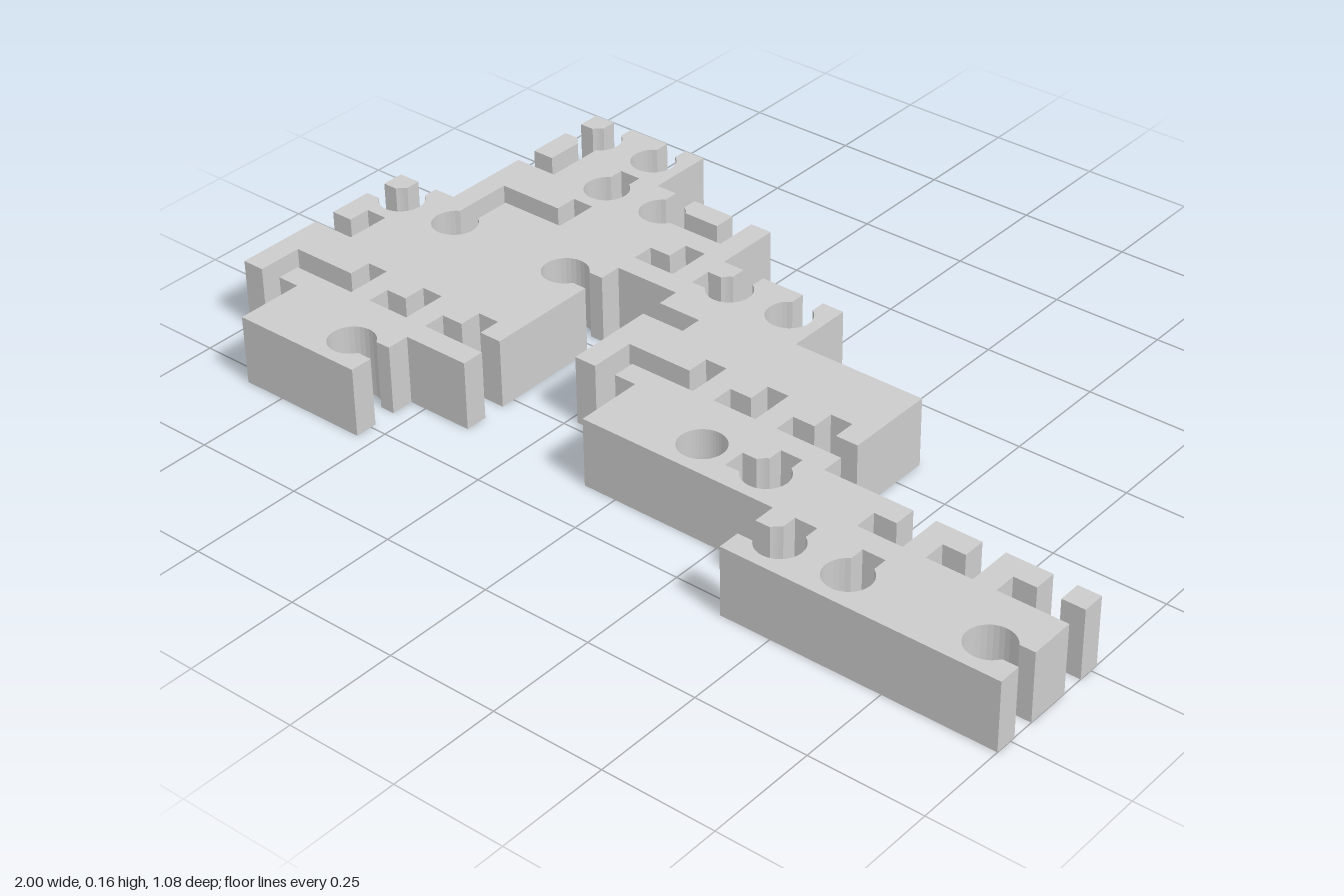
import * as THREE from 'three';

// Plan of the plate, back row first. Each tile is f (solid), s (square hole)
// or o (round hole), followed by the sides where a slot opens the hole.
const PLAN = [
  '. oNWS oN',
  '. sNW oN oNE sNW',
  '. sES sNW f sNW oNW oN',
  'oNW oN f oE . sW f f f',
  'sNW f f f . sES sNW sNW sNWE',
  'sSE sNW sNW sNWE . . f o oNW f sNW sNW sNWE',
  '. f oE . . . . . . oNW oN f oE',
];
const COLS = 13, ROWS = 7;
const CELL = 2 / COLS, H = CELL / 2, SLOT = CELL / 6, RADIUS = 0.05;
const HEIGHT = 0.155;
const SIDES = 'ENWS';

// Point turned by a number of quarter turns
function turn(x, y, quarter) {
  return new THREE.Vector2(x, y).rotateAround(new THREE.Vector2(), quarter * Math.PI / 2);
}

// Solid piece of a tile running counter-clockwise from slot a to slot b
function pieceShape(a, b, round) {
  const points = [turn(H, SLOT, a)];
  for (let i = a; i < b; i++) points.push(turn(H, H, i));
  points.push(turn(H, -SLOT, b));
  if (round) {
    const offset = Math.asin(SLOT / RADIUS) / (Math.PI / 2);
    const steps = (b - a) * 6;
    for (let i = 0; i <= steps; i++) {
      points.push(turn(RADIUS, 0, THREE.MathUtils.lerp(b - offset, a + offset, i / steps)));
    }
  } else {
    for (let i = b - 1; i >= a; i--) points.push(turn(SLOT, SLOT, i));
  }
  return new THREE.Shape(points);
}

function tileShapes(code) {
  const open = [...SIDES].map((s, i) => (code.slice(1).includes(s) ? i : -1)).filter(i => i >= 0);
  if (open.length) {
    return open.map((a, k) => pieceShape(a, k + 1 < open.length ? open[k + 1] : open[0] + 4, code[0] === 'o'));
  }
  const square = new THREE.Shape([0, 1, 2, 3].map(i => turn(H, H, i)));
  if (code[0] === 'o') square.holes.push(new THREE.Path().absarc(0, 0, RADIUS, 0, Math.PI * 2, true));
  return [square];
}

export function createModel() {
  const model = new THREE.Group();
  model.name = 'notchedPlate';
  const material = new THREE.MeshStandardMaterial({ color: 0xcccccc });
  const names = { f: 'solidTile', s: 'squareNotchTile', o: 'roundHoleTile' };

  PLAN.forEach((row, r) => row.split(' ').forEach((code, c) => {
    if (code === '.') return;
    const geometry = new THREE.ExtrudeGeometry(tileShapes(code), {
      depth: HEIGHT, bevelEnabled: false, curveSegments: 24,
    });
    geometry.rotateX(-Math.PI / 2);
    const tile = new THREE.Mesh(geometry, material);
    tile.name = names[code[0]];
    tile.position.set((c - (COLS - 1) / 2) * CELL, 0, (r - (ROWS - 1) / 2) * CELL);
    model.add(tile);
  }));
  return model;
}
